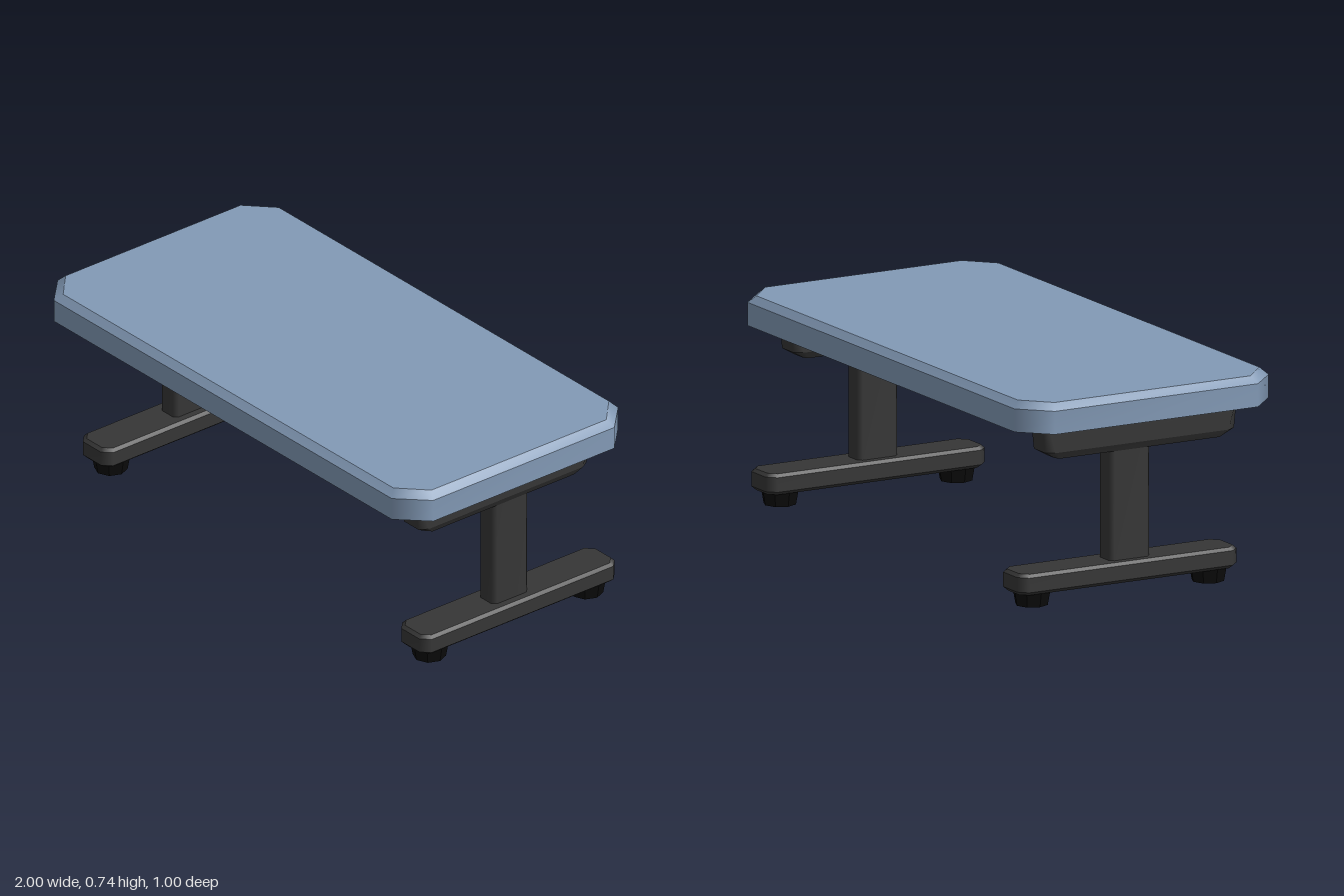
import * as THREE from 'three';

const material = (name, color) => {
  const m = new THREE.MeshStandardMaterial({ color });
  m.name = name;
  return m;
};

// Rectangle with cut corners: half sizes hx, hz and corner cuts cx, cz
function ring([y, hx, hz, cx, cz]) {
  return [
    [hx, -hz + cz], [hx, hz - cz], [hx - cx, hz], [-hx + cx, hz],
    [-hx, hz - cz], [-hx, -hz + cz], [-hx + cx, -hz], [hx - cx, -hz],
  ].map(([x, z]) => [x, y, z]);
}

// Solid through stacked rings; creased between bands, soft around each band
function loft(sections) {
  const rings = sections.map(ring);
  const pos = [], index = [];
  const add = (r) => {
    const start = pos.length / 3;
    r.forEach((p) => pos.push(...p));
    return start;
  };
  for (let k = 0; k < rings.length - 1; k++) {
    const lo = add(rings[k]), hi = add(rings[k + 1]);
    for (let i = 0; i < 8; i++) {
      const j = (i + 1) % 8;
      index.push(lo + i, hi + i, lo + j, lo + j, hi + i, hi + j);
    }
  }
  const bottom = add(rings[0]), top = add(rings[rings.length - 1]);
  for (let i = 1; i < 7; i++) {
    index.push(bottom, bottom + i, bottom + i + 1);
    index.push(top, top + i + 1, top + i);
  }
  const g = new THREE.BufferGeometry();
  g.setAttribute('position', new THREE.Float32BufferAttribute(pos, 3));
  g.setIndex(index);
  g.computeVertexNormals();
  return g;
}

export function createModel() {
  const model = new THREE.Group();
  model.name = 'table';
  const blue = material('blue top', 0x8299b5);
  const dark = material('dark frame', 0x363636);
  const black = material('black rubber', 0x0b0b0b);

  const add = (parent, name, geometry, mat, x = 0, z = 0) => {
    const mesh = new THREE.Mesh(geometry, mat);
    mesh.name = name;
    mesh.position.set(x, 0, z);
    parent.add(mesh);
  };

  // Tabletop with a bevelled upper rim
  add(model, 'tabletop', loft([
    [0.635, 1, 0.5, 0.1, 0.1],
    [0.716, 1, 0.5, 0.1, 0.1],
    [0.74, 0.974, 0.476, 0.095, 0.09],
  ]), blue);

  const beam = loft([
    [0.518, 0.043, 0.327, 0.015, 0.015],
    [0.543, 0.057, 0.371, 0.018, 0.03],
    [0.636, 0.057, 0.381, 0.018, 0.015],
  ]);
  const column = loft([
    [0.13, 0.043, 0.079, 0.014, 0.015],
    [0.52, 0.043, 0.079, 0.014, 0.015],
  ]);
  const runner = loft([
    [0.06, 0.062, 0.418, 0.025, 0.025],
    [0.073, 0.078, 0.431, 0.03, 0.03],
    [0.124, 0.078, 0.431, 0.03, 0.03],
    [0.135, 0.068, 0.42, 0.027, 0.027],
  ]);
  // Tapered foot with a shallow point underneath
  const foot = new THREE.LatheGeometry([
    new THREE.Vector2(0, 0),
    new THREE.Vector2(0.057, 0.012),
    new THREE.Vector2(0.066, 0.062),
    new THREE.Vector2(0, 0.062),
  ], 8).toNonIndexed();
  foot.computeVertexNormals();

  // A leg at each end
  for (const side of [-1, 1]) {
    const leg = new THREE.Group();
    leg.name = side > 0 ? 'leftLeg' : 'rightLeg';
    leg.position.x = side * 0.848;
    add(leg, 'supportBeam', beam, dark);
    add(leg, 'column', column, dark, 0, -0.037);
    add(leg, 'runner', runner, dark, 0, -0.056);
    add(leg, 'frontFoot', foot, black, 0, 0.291);
    add(leg, 'backFoot', foot, black, 0, -0.403);
    model.add(leg);
  }
  return model;
}
